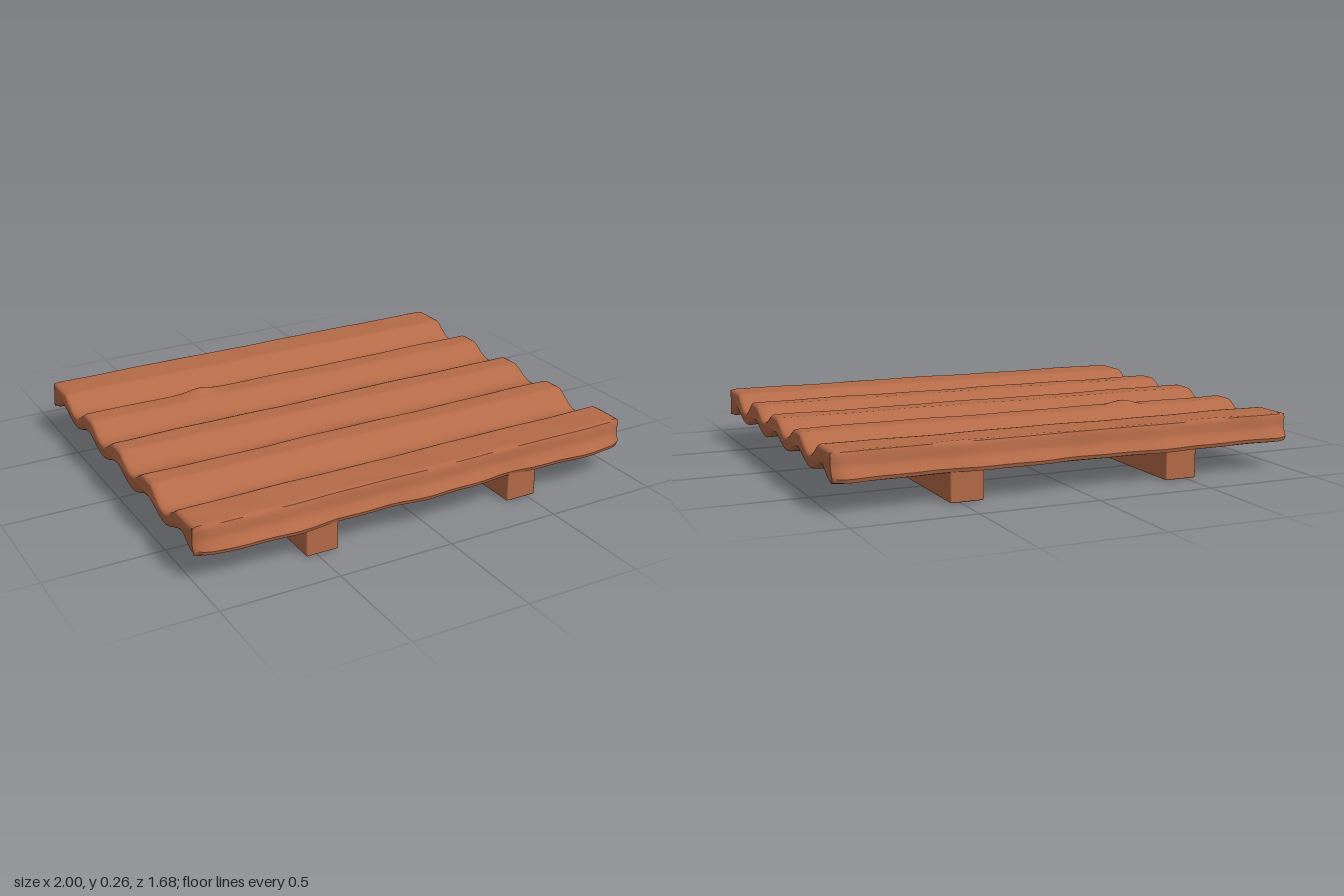
import * as THREE from 'three';
import { toCreasedNormals } from 'three/addons/utils/BufferGeometryUtils.js';
import { RoundedBoxGeometry } from 'three/addons/geometries/RoundedBoxGeometry.js';

const PITCH = 0.335; // spacing of the ridges across z
const clamp = THREE.MathUtils.clamp;

// distance from the nearest of the five ridges, outer ridges run on to the edge
function ridgeDistance(z) {
  const k = clamp(Math.round(z / PITCH), -2, 2);
  return Math.abs(z) > 2 * PITCH ? 0 : Math.abs(z - k * PITCH);
}

// upper surface: flat ridges, round troughs, gentle weathering along x
function topHeight(x, z) {
  const t = clamp((ridgeDistance(z) - 0.042) / (PITCH / 2 - 0.042), 0, 1);
  const trough = Math.pow(Math.sin(t * Math.PI / 2), 1.3);
  const depth = Math.abs(z) > PITCH ? 0.062 : 0.053;
  const wear = 0.003 * Math.sin(x * 7 + z * 9) + 0.002 * Math.sin(x * 17 - z * 23);
  const bump = 0.024 * Math.exp(-(((x + 0.46) / 0.07) ** 2) - (((z + 0.35) / 0.035) ** 2));
  return 0.234 - depth * trough + wear * (0.4 + 0.6 * trough) + bump;
}

// underside: soft arches below each ridge
function bottomHeight(x, z) {
  const arch = 0.5 + 0.5 * Math.cos(2 * Math.PI * z / PITCH);
  const edge = clamp((0.77 - Math.abs(z)) / 0.08, 0, 1);
  return 0.115 + 0.045 * arch * edge + 0.004 * Math.sin(x * 15 + z * 4);
}

// closed loop through the sheet at one x: top from back to front, then underside back
function section(x, inset) {
  const loop = [];
  const corner = 0.035 * clamp((Math.abs(x) - 0.93) / 0.07, 0, 1) ** 2;
  const edge = side => 0.008 * Math.sin(x * 9 + side) + 0.004 * Math.sin(x * 23 + side * 2) - corner;
  const n = 110;
  // rim points: z, y, share of the edge wobble
  const rim = [[0.79, 0.23, 0.3], [0.798, 0.212, 0.4], [0.797, 0.19, 0.5], [0.806, 0.165, 0.7], [0.822, 0.148, 1], [0.829, 0.136, 1], [0.824, 0.121, 1], [0.805, 0.116, 0.6]];
  const rimPoint = (p, s) => [s * (p[0] + edge(s) * p[2]), p[1]];
  for (let i = 0; i <= n; i++) {
    const z = -0.78 + 1.56 * i / n;
    loop.push([z, topHeight(x, z) - inset]);
  }
  rim.forEach(p => loop.push(rimPoint(p, 1)));
  for (let i = n; i >= 0; i--) {
    const z = -0.78 + 1.56 * i / n;
    loop.push([z, bottomHeight(x, z) + inset]);
  }
  rim.slice().reverse().forEach(p => loop.push(rimPoint(p, -1)));
  return loop;
}

function sheetGeometry() {
  const stations = [[-1, 0.012], [-0.996, 0.005], [-0.985, 0]];
  for (let i = 1; i < 80; i++) stations.push([-0.985 + 1.97 * i / 80, 0]);
  stations.push([0.985, 0], [0.996, 0.005], [1, 0.012]);
  const loops = stations.map(([x, inset]) => section(x, inset));
  const m = loops[0].length;
  const pos = [], index = [];
  loops.forEach((loop, i) => loop.forEach(([z, y]) => pos.push(stations[i][0], y, z)));
  for (let i = 0; i < loops.length - 1; i++) {
    for (let j = 0; j < m; j++) {
      const a = i * m + j, b = i * m + (j + 1) % m;
      index.push(a, b, b + m, a, b + m, a + m);
    }
  }
  // end caps
  [0, loops.length - 1].forEach((row, end) => {
    const outline = loops[row].map(([z, y]) => new THREE.Vector2(z, y));
    THREE.ShapeUtils.triangulateShape(outline, []).forEach(tri => {
      const [a, b, c] = tri.map(v => v + row * m);
      const [p, q, r] = tri.map(v => outline[v]);
      const area = (q.x - p.x) * (r.y - p.y) - (q.y - p.y) * (r.x - p.x);
      // counter-clockwise in (z, y) faces -x
      if ((area > 0) === (end === 0)) index.push(a, b, c);
      else index.push(a, c, b);
    });
  });
  const g = new THREE.BufferGeometry();
  g.setAttribute('position', new THREE.Float32BufferAttribute(pos, 3));
  g.setIndex(index);
  return toCreasedNormals(g, 0.7);
}

export function createModel() {
  const model = new THREE.Group();
  model.name = 'corrugatedRoofPanel';
  const clay = new THREE.MeshStandardMaterial({ color: 0xb46a47 });
  clay.name = 'terracotta';

  const sheet = new THREE.Mesh(sheetGeometry(), clay);
  sheet.name = 'corrugatedSheet';
  model.add(sheet);

  // two support beams running front to back
  for (const [name, x] of [['leftBeam', 0.47], ['rightBeam', -0.475]]) {
    const beam = new THREE.Mesh(new RoundedBoxGeometry(0.14, 0.14, 1.63, 2, 0.006), clay);
    beam.name = name;
    beam.position.set(x, 0.07, 0);
    model.add(beam);
  }
  return model;
}
